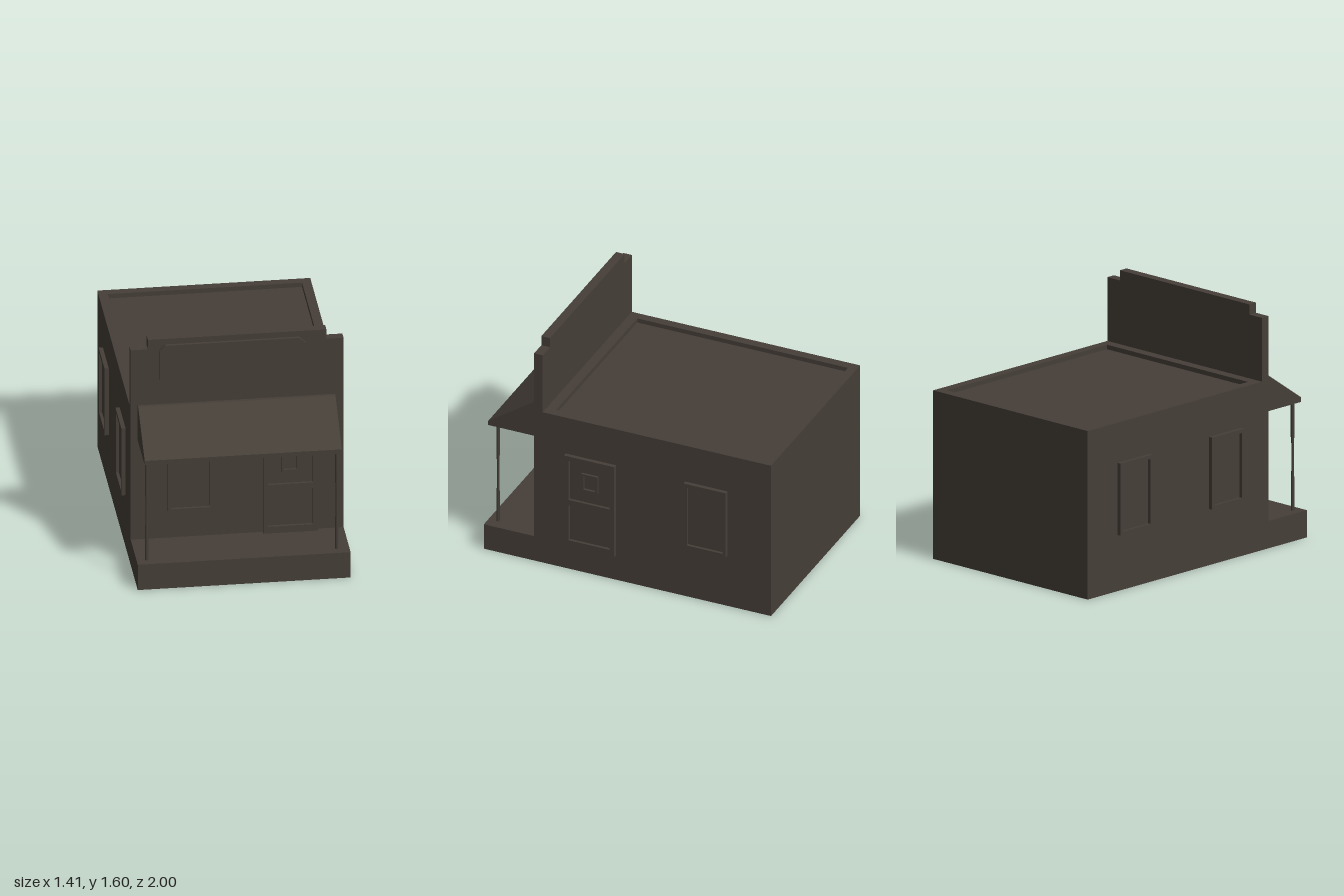
import * as THREE from 'three';

const timber = new THREE.MeshStandardMaterial({ color: 0x463f38 });
timber.name = 'dark timber';

function add(parent, name, geometry, x = 0, y = 0, z = 0) {
  const mesh = new THREE.Mesh(geometry, timber);
  mesh.name = name;
  mesh.position.set(x, y, z);
  parent.add(mesh);
  return mesh;
}

// Box given by its minimum and maximum corners
function block(parent, name, [x0, y0, z0], [x1, y1, z1]) {
  return add(parent, name, new THREE.BoxGeometry(x1 - x0, y1 - y0, z1 - z0),
    (x0 + x1) / 2, (y0 + y1) / 2, (z0 + z1) / 2);
}

const polygon = (points) => new THREE.Shape(points.map(([x, y]) => new THREE.Vector2(x, y)));
const corners = ([x0, y0, x1, y1]) => [[x0, y0], [x1, y0], [x1, y1], [x0, y1]];

// Flat plate with optional rectangular holes; rectangles are [x0, y0, x1, y1]
function plate(outline, depth, holes = []) {
  const shape = polygon(outline);
  shape.holes = holes.map((hole) => polygon(corners(hole)));
  return new THREE.ExtrudeGeometry(shape, { depth, bevelEnabled: false });
}

const DEPTH = 0.027;

// Window centred on local x = 0, standing out of the wall towards +z
function makeWindow() {
  const group = new THREE.Group();
  group.name = 'window';
  const outer = [-0.147, 0.37, 0.147, 0.845];
  const pane = [-0.124, 0.393, 0.124, 0.82];
  add(group, 'windowFrame', plate(corners(outer), DEPTH, [pane]));
  add(group, 'windowPane', plate(corners(pane), 0.008));
  return group;
}

// Door with two sunken panels and a small framed light
function makeDoor() {
  const group = new THREE.Group();
  group.name = 'door';
  const upper = [-0.143, 0.525, 0.143, 0.812];
  const lower = [-0.143, 0.227, 0.143, 0.485];
  add(group, 'doorFrame', plate(corners([-0.174, 0.18, 0.174, 0.845]), DEPTH, [upper, lower]));
  add(group, 'upperPanel', plate(corners(upper), 0.008));
  add(group, 'lowerPanel', plate(corners(lower), 0.008));
  add(group, 'doorLightFrame',
    plate(corners([-0.056, 0.61, 0.056, 0.737]), 0.016, [[-0.041, 0.625, 0.041, 0.722]]), 0, 0, 0.008);
  return group;
}

function place(parent, part, x, z, turn) {
  part.position.set(x, 0, z);
  part.rotation.y = turn;
  parent.add(part);
}

export function createModel() {
  const model = new THREE.Group();
  model.name = 'storefront';
  const W = 0.68;

  // Base with porch deck, main walls and low parapet around the roof
  block(model, 'base', [-W, 0, -1], [W, 0.18, 1]);
  block(model, 'walls', [-W, 0.18, -1], [W, 1.08, 0.59]);
  const parapet = add(model, 'parapet',
    plate(corners([-W, -0.59, W, 1]), 0.03, [[-0.62, -0.525, 0.62, 0.942]]), 0, 1.08, 0);
  parapet.rotation.x = -Math.PI / 2;

  // Tall stepped false front
  add(model, 'falseFront', plate([
    [-W, 0.18], [W, 0.18], [W, 1.53], [0.57, 1.53],
    [0.57, 1.597], [-0.57, 1.597], [-0.57, 1.53], [-W, 1.53],
  ], 0.06), 0, 0, 0.59);

  // Blank sign board with clipped corners
  add(model, 'signBoard', plate([
    [-0.46, 1.28], [0.395, 1.28], [0.435, 1.32], [0.435, 1.52],
    [0.395, 1.558], [-0.46, 1.558], [-0.5, 1.52], [-0.5, 1.32],
  ], 0.02), 0, 0, 0.65);

  // Sloping awning, drawn in side profile and extruded across the front
  const awning = add(model, 'awning', plate([
    [-0.65, 0.885], [-0.65, 1.135], [-0.675, 1.135], [-0.995, 0.915], [-0.995, 0.885],
  ], 1.26), -0.635, 0, 0);
  awning.rotation.y = Math.PI / 2;

  // Slender turned porch posts
  const profile = [[0.011, 0.18], [0.011, 0.4], [0.008, 0.44], [0.008, 0.62], [0.012, 0.67], [0.012, 0.885]]
    .map(([r, y]) => new THREE.Vector2(r, y));
  for (const x of [-0.615, 0.6]) {
    add(model, 'porchPost', new THREE.LatheGeometry(profile, 8), x, 0, 0.937);
  }

  // Openings: front, left side (+x) and right side (-x)
  place(model, makeWindow(), -0.3, 0.65, 0);
  place(model, makeDoor(), 0.338, 0.65, 0);
  place(model, makeDoor(), W, 0.255, Math.PI / 2);
  place(model, makeWindow(), W, -0.55, Math.PI / 2);
  place(model, makeWindow(), -W, 0.255, -Math.PI / 2);
  place(model, makeWindow(), -W, -0.58, -Math.PI / 2);

  return model;
}
